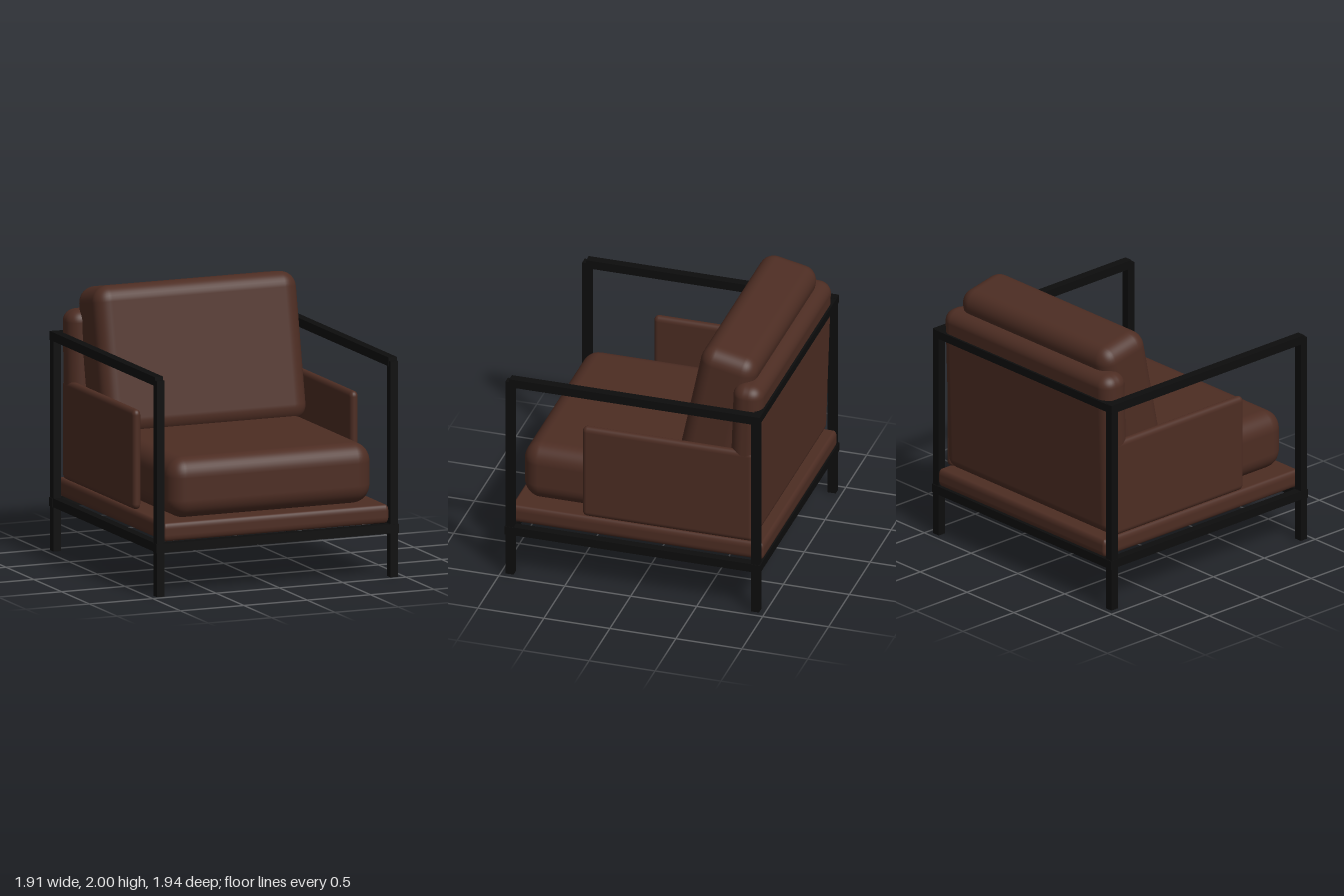
import * as THREE from 'three';
import { RoundedBoxGeometry } from 'three/addons/geometries/RoundedBoxGeometry.js';

export function createModel() {
  const leather = new THREE.MeshStandardMaterial({ color: 0x4d2d23 });
  leather.name = 'brown leather';
  const metal = new THREE.MeshStandardMaterial({ color: 0x0d0d0d });
  metal.name = 'black metal';
  const model = new THREE.Group();
  model.name = 'armchair';

  const add = (parent, name, geometry, material, [x, y, z], tilt = 0) => {
    const mesh = new THREE.Mesh(geometry, material);
    mesh.name = name;
    mesh.position.set(x, y, z);
    mesh.rotation.x = tilt;
    parent.add(mesh);
    return mesh;
  };

  // Upholstered block with a separate edge radius along each axis
  const pad = (name, [w, h, d], [rx, ry, rz], position, tilt) => {
    const geometry = new RoundedBoxGeometry(w / rx, h / ry, d / rz, 5, 1);
    geometry.scale(rx, ry, rz);
    return add(model, name, geometry, leather, position, tilt);
  };

  // Bar given by its minimum and maximum corners
  const frame = new THREE.Group();
  frame.name = 'frame';
  model.add(frame);
  const bar = (name, a, b) => add(
    frame, name,
    new THREE.BoxGeometry(b[0] - a[0], b[1] - a[1], b[2] - a[2]), metal,
    a.map((v, i) => (v + b[i]) / 2));

  // Posts and side rails
  for (const [side, s] of [['left', 1], ['right', -1]]) {
    const lo = s > 0 ? 0.892 : -0.952;
    const hi = lo + 0.06;
    bar(side + 'FrontPost', [lo, 0, 0.903], [hi, 1.59, 0.965]);
    bar(side + 'BackPost', [lo, 0, -0.957], [hi, 1.59, -0.895]);
    bar(side + 'ArmRail', [lo - 0.003, 1.55, -0.957], [hi + 0.003, 1.615, 0.935]);
    bar(side + 'LowerRail', [lo - 0.002, 0.327, -0.96], [hi + 0.002, 0.392, 0.965]);
  }

  // Cross rails
  bar('frontLowerRail', [-0.957, 0.325, 0.905], [0.957, 0.39, 0.97]);
  bar('backLowerRail', [-0.957, 0.325, -0.965], [0.957, 0.39, -0.9]);
  bar('backTopRail', [-0.95, 1.553, -0.962], [0.95, 1.613, -0.9]);

  // Platform, arms and back panel
  pad('platform', [1.78, 0.135, 1.92], [0.025, 0.045, 0.025], [0, 0.465, -0.01]);
  for (const [side, s] of [['left', 1], ['right', -1]]) {
    pad(side + 'Arm', [0.065, 0.735, 1.295], [0.03, 0.04, 0.035], [s * 0.858, 0.902, -0.2425]);
  }
  pad('backPanel', [1.78, 1.26, 0.23], [0.1, 0.09, 0.1], [0, 1.16, -0.815], -0.033);

  // Loose cushions
  pad('seatCushion', [1.6, 0.445, 1.62], [0.13, 0.14, 0.13], [0, 0.758, 0.09]);
  pad('backCushion', [1.6, 1.09, 0.435], [0.12, 0.12, 0.11], [0, 1.443, -0.567], -0.203);

  return model;
}
